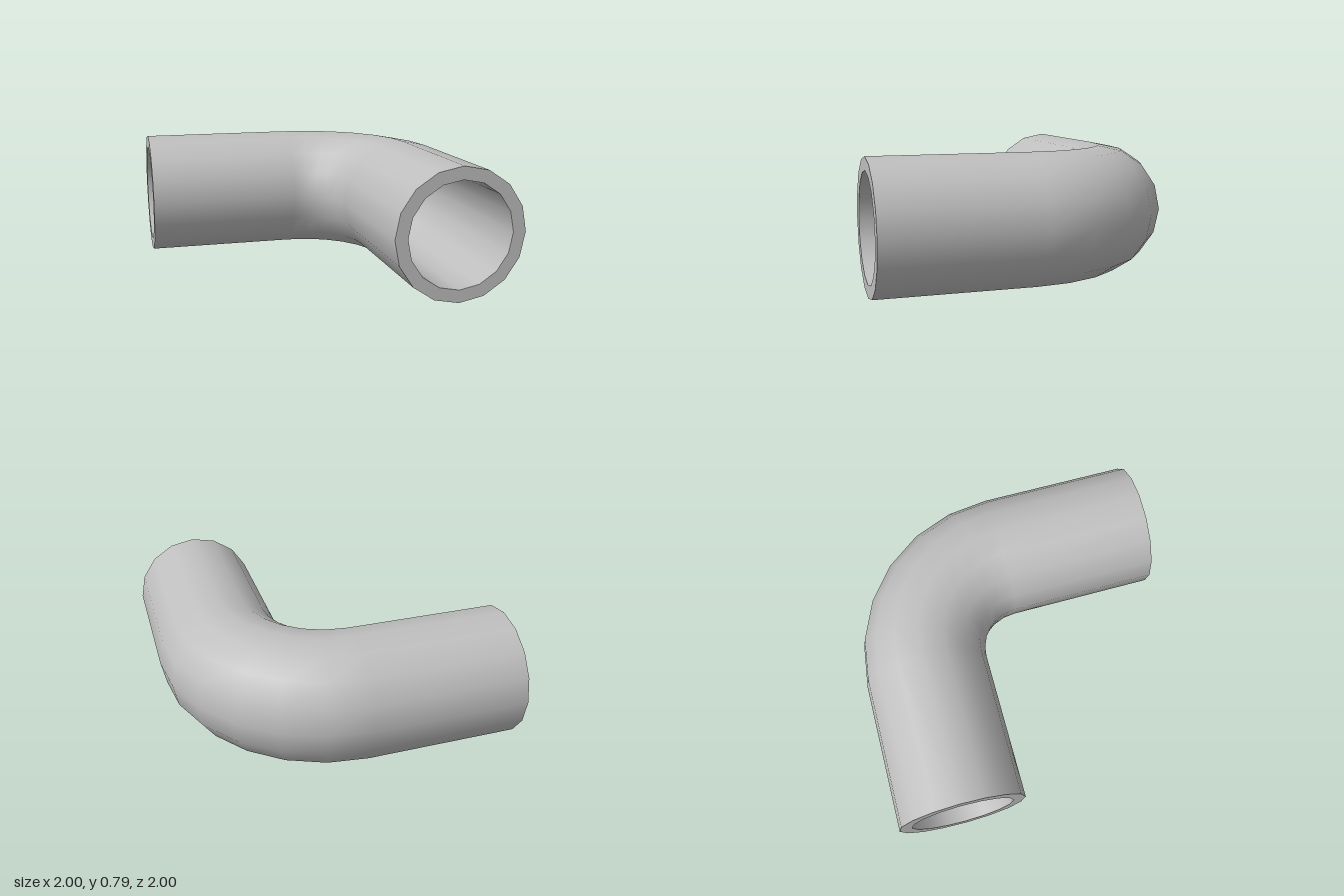
import * as THREE from 'three';

const OUTER = 0.395, INNER = 0.3175, SIDES = 16;
const PIVOT = 0.06, BEND = 0.665, STEPS = 6; // bend centre is (-PIVOT, PIVOT) in x, z

// Path stations: straight start, quarter bend, straight end
function stations() {
  const list = [];
  for (let i = 0; i <= STEPS; i++) {
    const t = (i / STEPS) * Math.PI / 2;
    const dir = new THREE.Vector3(Math.sin(t), 0, -Math.cos(t));
    const centre = dir.clone().multiplyScalar(BEND).add(new THREE.Vector3(-PIVOT, OUTER, PIVOT));
    list.push({ dir, centre });
  }
  const first = list[0], last = list[STEPS];
  list.unshift({ dir: first.dir, centre: first.centre.clone().setX(-1) });
  list.push({ dir: last.dir, centre: last.centre.clone().setZ(1) });
  return list;
}

// Smooth wall swept along the stations; inward walls face the bore
function wall(radius, inward) {
  const pos = [], nor = [], idx = [], path = stations(), row = SIDES + 1;
  const sign = inward ? -1 : 1;
  path.forEach(({ dir, centre }, i) => {
    for (let j = 0; j <= SIDES; j++) {
      const a = (j / SIDES) * Math.PI * 2;
      const n = dir.clone().multiplyScalar(Math.cos(a));
      n.y = Math.sin(a);
      pos.push(...centre.clone().addScaledVector(n, radius).toArray());
      nor.push(...n.multiplyScalar(sign).toArray());
      if (i < path.length - 1 && j < SIDES) {
        const p = i * row + j, q = p + row;
        if (inward) idx.push(p, q, p + 1, p + 1, q, q + 1);
        else idx.push(p, p + 1, q, p + 1, q + 1, q);
      }
    }
  });
  const geo = new THREE.BufferGeometry();
  geo.setAttribute('position', new THREE.Float32BufferAttribute(pos, 3));
  geo.setAttribute('normal', new THREE.Float32BufferAttribute(nor, 3));
  geo.setIndex(idx);
  return geo;
}

export function createModel() {
  const group = new THREE.Group();
  group.name = 'pipeElbow';
  const grey = new THREE.MeshStandardMaterial({ color: 0xbfbfbf });
  grey.name = 'pipe grey';

  const add = (name, geo) => {
    const mesh = new THREE.Mesh(geo, grey);
    mesh.name = name;
    group.add(mesh);
    return mesh;
  };

  add('outerWall', wall(OUTER, false));
  add('bore', wall(INNER, true));

  // Flat rims at the two open ends
  const centre = BEND - PIVOT;
  const rim = new THREE.RingGeometry(INNER, OUTER, SIDES);
  add('frontRim', rim).position.set(centre, OUTER, 1);
  const side = add('sideRim', rim);
  side.position.set(-1, OUTER, -centre);
  side.rotation.y = -Math.PI / 2;

  return group;
}
